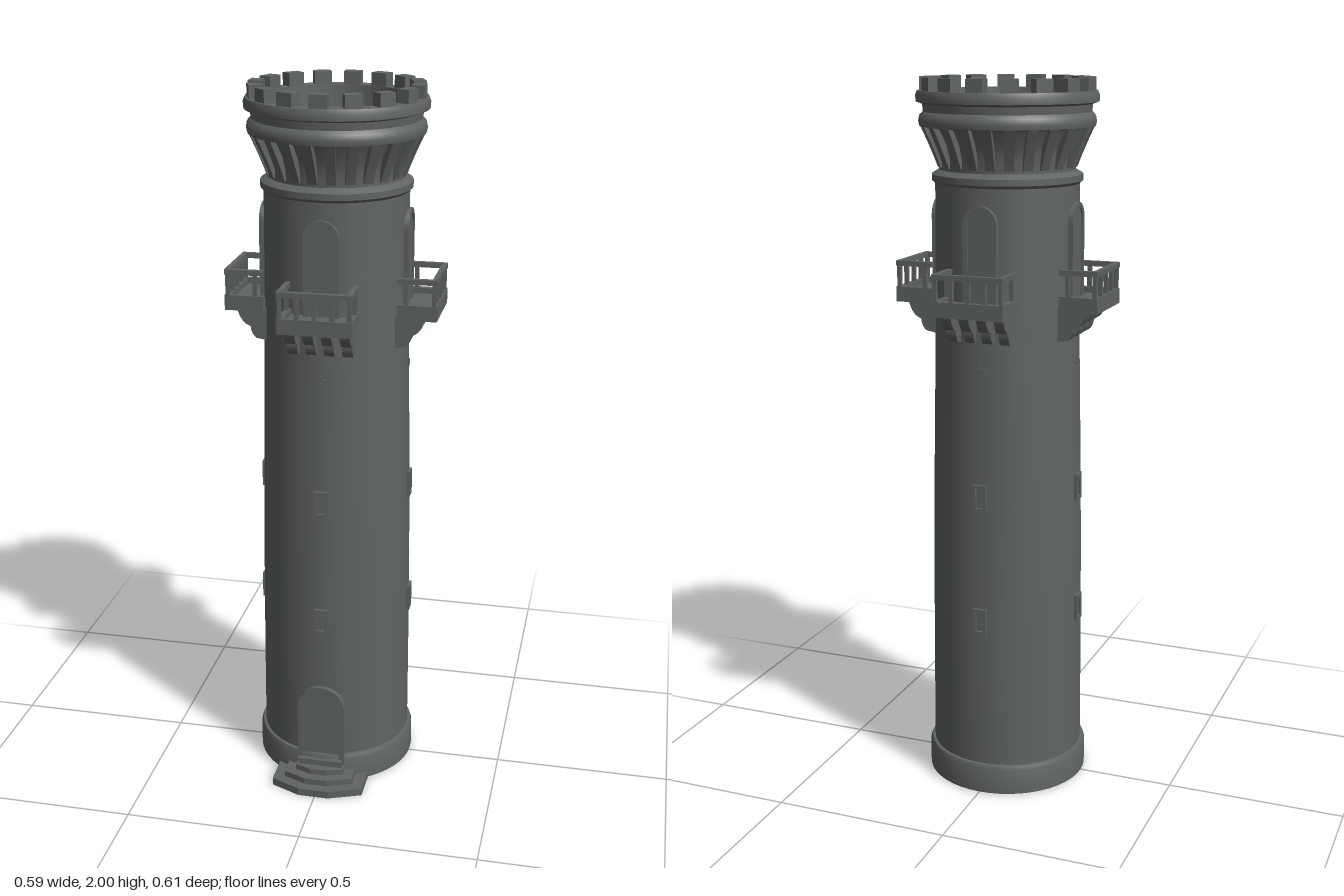
import * as THREE from 'three';
import { toCreasedNormals } from 'three/addons/utils/BufferGeometryUtils.js';

const stone = new THREE.MeshStandardMaterial({ color: 0x606464 });
stone.name = 'darkStone';

function add(parent, name, geometry, x = 0, y = 0, z = 0) {
  const mesh = new THREE.Mesh(geometry, stone);
  mesh.name = name;
  mesh.position.set(x, y, z);
  parent.add(mesh);
  return mesh;
}
const box = (w, h, d) => new THREE.BoxGeometry(w, h, d);
const lathe = (points) => toCreasedNormals(
  new THREE.LatheGeometry(points.map(([r, y]) => new THREE.Vector2(r, y)), 48), 0.6);
const extrude = (shape, depth) => new THREE.ExtrudeGeometry(shape, { depth, bevelEnabled: false, curveSegments: 10 });

// Round-headed outline, standing on y = bottom
function arch(Type, half, bottom, top) {
  const s = new Type();
  s.moveTo(-half, bottom);
  s.lineTo(half, bottom);
  s.lineTo(half, top - half);
  s.absarc(0, top - half, half, 0, Math.PI, false);
  s.lineTo(-half, bottom);
  return s;
}

// Arched frame around a door leaf, with its foot at height y
function doorway(parent, name, y, half, height, wall, front) {
  const door = new THREE.Group();
  door.name = name;
  door.position.y = y;
  const frame = arch(THREE.Shape, half, 0, height);
  frame.holes.push(arch(THREE.Path, half - 0.014, 0.004, height - 0.014));
  add(door, 'doorFrame', extrude(frame, front - wall + 0.03), 0, 0, wall - 0.03);
  add(door, 'doorLeaf', extrude(arch(THREE.Shape, half - 0.012, 0, height - 0.012), 0.02), 0, 0, wall - 0.017);
  parent.add(door);
  return door;
}

// Small slit window with a raised surround
function slit(parent, y, wall) {
  const s = new THREE.Shape([[-0.02, -0.038], [0.02, -0.038], [0.02, 0.038], [-0.02, 0.038]]
    .map(([a, b]) => new THREE.Vector2(a, b)));
  s.holes.push(new THREE.Path([[-0.011, -0.028], [-0.011, 0.028], [0.011, 0.028], [0.011, -0.028]]
    .map(([a, b]) => new THREE.Vector2(a, b))));
  add(parent, 'slitWindow', extrude(s, 0.018), 0, y, wall - 0.011);
}

function balcony() {
  const g = new THREE.Group();
  g.name = 'balcony';
  const near = 0.185, far = 0.293, mid = (near + far) / 2;
  add(g, 'balconyFloor', box(0.2, 0.026, far - near), 0, 1.403, mid);
  // Raised curb and handrail run round three sides
  for (const [name, y, t, h] of [['curb', 1.421, 0.016, 0.022], ['handrail', 1.497, 0.014, 0.014]]) {
    add(g, name, box(0.2, h, t), 0, y, far - t / 2);
    for (const s of [-1, 1]) add(g, name, box(t, h, far - near), s * (0.1 - t / 2), y, mid);
  }
  for (const x of [-0.093, -0.047, 0, 0.047, 0.093]) add(g, 'railPost', box(0.011, 0.07, 0.011), x, 1.46, far - 0.008);
  for (const s of [-1, 1]) add(g, 'railPost', box(0.011, 0.07, 0.011), s * 0.093, 1.46, 0.208);
  // Curved brackets, profile drawn outward from the wall
  const b = new THREE.Shape();
  b.moveTo(0.17, 1.395);
  b.lineTo(0.17, 1.305);
  b.lineTo(0.208, 1.312);
  b.quadraticCurveTo(0.222, 1.322, 0.224, 1.345);
  b.quadraticCurveTo(0.25, 1.35, 0.262, 1.395);
  b.lineTo(0.17, 1.395);
  for (const x of [-0.075, -0.025, 0.025, 0.075]) {
    add(g, 'bracket', extrude(b, 0.028), x + 0.014, 0, 0).rotation.y = -Math.PI / 2;
  }
  return g;
}

export function createModel() {
  const model = new THREE.Group();
  model.name = 'watchtower';
  const tower = new THREE.Group();
  tower.name = 'tower';
  tower.position.z = -0.012;
  model.add(tower);

  // Plinth and tapering shaft
  add(tower, 'plinth', lathe([[0, 0.003], [0.229, 0.003], [0.229, 0.075], [0.224, 0.087], [0.205, 0.09]]));
  add(tower, 'shaft', lathe([[0.216, 0.08], [0.215, 0.35], [0.212, 0.7], [0.208, 0.95], [0.203, 1.2], [0.199, 1.4],
    [0.197, 1.72], [0.206, 1.728], [0.206, 1.745], [0.186, 1.757]]));

  // Flared head, parapet and sunken roof
  add(tower, 'flaredHead', lathe([[0.186, 1.755], [0.187, 1.79], [0.197, 1.83], [0.218, 1.868], [0.238, 1.872],
    [0.241, 1.885], [0.238, 1.9], [0.228, 1.91], [0.23, 1.93], [0.247, 1.936], [0.248, 1.953], [0.243, 1.965],
    [0.199, 1.965], [0.196, 1.905], [0, 1.9]]));

  // Corbels under the cornice
  const rib = new THREE.Shape();
  rib.moveTo(0.17, 1.875);
  rib.lineTo(0.17, 1.765);
  rib.lineTo(0.19, 1.765);
  rib.quadraticCurveTo(0.206, 1.81, 0.237, 1.875);
  rib.lineTo(0.17, 1.875);
  const ribGeometry = extrude(rib, 0.026).translate(0, 0, -0.013);
  for (let i = 0; i < 24; i++) add(tower, 'corbel', ribGeometry).rotation.y = (i + 0.5) * Math.PI / 12;

  // Merlons
  const merlonGeometry = box(0.047, 0.055, 0.035).translate(0, 1.9725, 0.219);
  for (let i = 0; i < 16; i++) add(tower, 'merlon', merlonGeometry).rotation.y = i * Math.PI / 8;

  // Four matching sides
  for (let i = 0; i < 4; i++) {
    const side = new THREE.Group();
    side.name = 'side';
    side.rotation.y = i * Math.PI / 2;
    side.add(balcony());
    doorway(side, 'balconyDoor', 1.405, 0.048, 0.27, 0.199, 0.206);
    slit(side, 0.88, 0.209);
    slit(side, 0.52, 0.214);
    add(side, 'ornament', box(0.024, 0.007, 0.012), 0, 1.238, 0.2);
    add(side, 'ornament', box(0.008, 0.022, 0.012), 0, 1.241, 0.2);
    tower.add(side);
  }

  // Entrance and its stacked steps
  doorway(tower, 'entrance', 0.055, 0.068, 0.255, 0.216, 0.227);
  add(tower, 'threshold', box(0.13, 0.04, 0.05), 0, 0.055, 0.215);
  const steps = [[0.133, 0.268, 0.305, 0.022], [0.1, 0.25, 0.277, 0.04], [0.07, 0.235, 0.25, 0.057]];
  for (const [half, shoulder, front, top] of steps) {
    const s = new THREE.Shape([[-half, -0.1], [half, -0.1], [half, -shoulder], [half * 0.3, -front],
      [-half * 0.36, -front], [-half, -shoulder]].map(([x, y]) => new THREE.Vector2(x, y)).reverse());
    add(model, 'step', extrude(s, top).rotateX(-Math.PI / 2));
  }
  return model;
}
